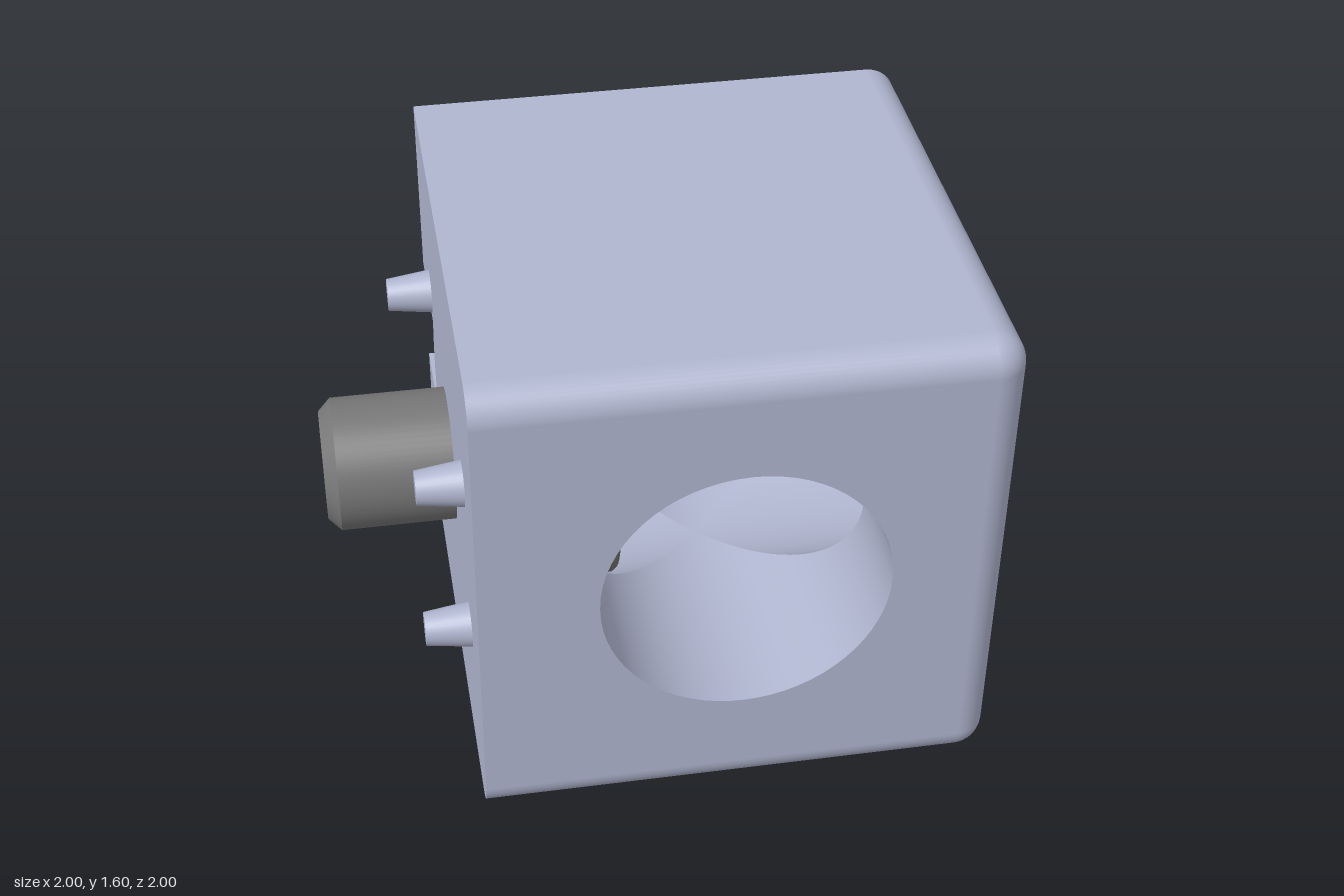
import * as THREE from 'three';
import { toCreasedNormals } from 'three/addons/utils/BufferGeometryUtils.js';

const C = 0.2, MID = 0.8;            // bore axis position and height
const BORE = 0.44, SEAT = -0.3, HEAD = -0.115;
const LO = -0.6, HI = 1, R = 0.1;    // cube limits and fillet radius
const COLLAR = 0.49, NOTCH = 0.19;   // corner notch: arc radius, half height
const HEX = 0.165;

// Reverse the winding of every triangle
function reverse(geometry) {
  const g = geometry.index ? geometry.toNonIndexed() : geometry.clone();
  for (const key of ['position', 'normal']) {
    const a = g.attributes[key];
    for (let i = 0; i < a.count; i += 3) {
      const p = new THREE.Vector3().fromBufferAttribute(a, i + 1);
      const q = new THREE.Vector3().fromBufferAttribute(a, i + 2);
      a.setXYZ(i + 1, q.x, q.y, q.z);
      a.setXYZ(i + 2, p.x, p.y, p.z);
    }
  }
  return g;
}

// Same surface seen from the other side
function insideOut(geometry) {
  const g = reverse(geometry);
  g.computeVertexNormals();
  return g;
}

// Mirror across the diagonal plane x = z
function swapXZ(geometry) {
  const m = new THREE.Matrix4().set(0, 0, 1, 0, 0, 1, 0, 0, 1, 0, 0, 0, 0, 0, 0, 1);
  return reverse(geometry.clone().applyMatrix4(m));
}

// Strip of quads between two curves
function strip(n, lower, upper) {
  const pos = [], idx = [];
  for (let i = 0; i <= n; i++) {
    pos.push(...lower(i / n), ...upper(i / n));
    const a = 2 * i;
    if (i < n) idx.push(a, a + 3, a + 2, a, a + 1, a + 3);
  }
  const g = new THREE.BufferGeometry();
  g.setAttribute('position', new THREE.Float32BufferAttribute(pos, 3));
  g.setIndex(idx);
  g.computeVertexNormals();
  return g;
}

const polygon = (pts) => new THREE.Shape(pts.map(([x, y]) => new THREE.Vector2(x, y)));

export function createModel() {
  const group = new THREE.Group();
  const bodyMat = new THREE.MeshStandardMaterial({ color: 0xb0b6d0 });
  bodyMat.name = 'pale blue body';
  const steelMat = new THREE.MeshStandardMaterial({ color: 0x777777 });
  steelMat.name = 'grey steel';

  const add = (name, geometry, material = bodyMat) => {
    const mesh = new THREE.Mesh(geometry, material);
    mesh.name = name;
    group.add(mesh);
  };
  const addPair = (name, geometry, material) => {
    add(name + 'Z', geometry, material);
    add(name + 'X', swapXZ(geometry), material);
  };

  // Outer face with the bore opening
  const E = HI - R;
  const face = polygon([[LO, R], [E, R], [E, 1.6 - R], [LO, 1.6 - R]]);
  face.holes.push(new THREE.Path().absarc(C, MID, BORE, 0, Math.PI * 2, true));
  addPair('boredFace', new THREE.ShapeGeometry(face, 32).translate(0, 0, HI));

  // Mounting face with rounded outer corners and a notch at the sharp corner
  const a = Math.asin(NOTCH / COLLAR);
  const notchX = C - COLLAR * Math.cos(a);
  const back = new THREE.Shape();
  back.moveTo(LO, 0);
  back.lineTo(E, 0);
  back.absarc(E, R, R, -Math.PI / 2, 0, false);
  back.lineTo(HI, 1.6 - R);
  back.absarc(E, 1.6 - R, R, 0, Math.PI / 2, false);
  back.lineTo(LO, 1.6);
  back.lineTo(LO, MID + NOTCH);
  back.lineTo(notchX, MID + NOTCH);
  back.absarc(C, MID, COLLAR, Math.PI - a, Math.PI + a, false);
  back.lineTo(LO, MID - NOTCH);
  addPair('mountingFace', insideOut(new THREE.ShapeGeometry(back, 16).translate(0, 0, LO)));

  // Notch wall, floor and ceiling
  const arcX = (t) => C - COLLAR * Math.cos(a * (2 * t - 1));
  const arcY = (t) => MID + COLLAR * Math.sin(a * (2 * t - 1));
  add('notchWall', strip(16, (t) => [arcX(t), arcY(t), LO], (t) => [LO, arcY(t), arcX(t)]));
  const floor = polygon([[notchX, -LO], [LO, -LO], [LO, -notchX]]);
  const floorGeo = new THREE.ShapeGeometry(floor).rotateX(-Math.PI / 2);
  add('notchFloor', floorGeo.clone().translate(0, MID - NOTCH, 0));
  add('notchCeiling', insideOut(floorGeo).translate(0, MID + NOTCH, 0));

  // Top and bottom
  const half = (LO + E) / 2, len = E - LO;
  add('top', new THREE.PlaneGeometry(len, len).rotateX(-Math.PI / 2).translate(half, 1.6, half));
  add('bottom', new THREE.PlaneGeometry(len, len).rotateX(Math.PI / 2).translate(half, 0, half));

  // Rounded edges and corners
  const fillet = (length) => new THREE.CylinderGeometry(R, R, length, 12, 1, true, 0, Math.PI / 2);
  addPair('topEdge', fillet(len).rotateZ(Math.PI / 2).translate(half, 1.6 - R, E));
  addPair('bottomEdge', fillet(len).rotateZ(-Math.PI / 2).translate(half, R, E));
  add('verticalEdge', fillet(1.6 - 2 * R).translate(E, MID, E));
  const corner = (start) =>
    new THREE.SphereGeometry(R, 12, 12, Math.PI / 2, Math.PI / 2, start, Math.PI / 2);
  add('topCorner', corner(0).translate(E, 1.6 - R, E));
  add('bottomCorner', corner(Math.PI / 2).translate(E, R, E));

  // Bore walls, cut where the two bores cross
  const wall = (zOf) => (t) => {
    const c = Math.cos(t * Math.PI * 2), s = Math.sin(t * Math.PI * 2);
    return [C + BORE * c, MID + BORE * s, zOf(BORE * Math.abs(c))];
  };
  addPair('outerBore', strip(128, wall((d) => C + d), wall(() => HI)));
  addPair('innerBore', strip(128, wall(() => SEAT), wall((d) => C - d)));
  addPair('boreSeat', new THREE.CircleGeometry(BORE, 64).translate(C, MID, SEAT));

  // Socket screw: turned body, head face, hexagonal socket
  const profile = [[0, -1], [0.17, -1], [0.21, -0.96], [0.21, SEAT + 0.005], [0.43, SEAT + 0.005],
    [0.43, HEAD - 0.015], [0.42, HEAD]].map(([x, y]) => new THREE.Vector2(x, y));
  const turned = new THREE.LatheGeometry(profile, 64).rotateX(Math.PI / 2);
  addPair('screwBody', toCreasedNormals(turned, 0.5).translate(C, MID, 0), steelMat);

  const headFace = new THREE.Shape().absarc(0, 0, 0.42, 0, Math.PI * 2, false);
  const hexagon = [];
  for (let i = 0; i < 6; i++) {
    const t = -i * Math.PI / 3;
    hexagon.push(new THREE.Vector2(HEX * Math.cos(t), HEX * Math.sin(t)));
  }
  headFace.holes.push(new THREE.Path(hexagon));
  addPair('screwHeadFace', new THREE.ShapeGeometry(headFace, 32).translate(C, MID, HEAD), steelMat);
  const socket = new THREE.CylinderGeometry(HEX, HEX, 0.12, 6, 1, true)
    .rotateY(Math.PI / 2).rotateX(Math.PI / 2);
  addPair('socketWall', insideOut(socket).translate(C, MID, HEAD - 0.06), steelMat);
  addPair('socketFloor', new THREE.CircleGeometry(HEX, 6).translate(C, MID, HEAD - 0.12), steelMat);

  // Tapered locating pegs
  for (const x of [-0.3, 0.7]) {
    for (const y of [0.52, 1.08]) {
      const peg = new THREE.CylinderGeometry(0.052, 0.07, 0.14, 32).rotateX(-Math.PI / 2);
      addPair('locatingPeg', peg.translate(x, y, LO - 0.07));
    }
  }
  return group;
}
